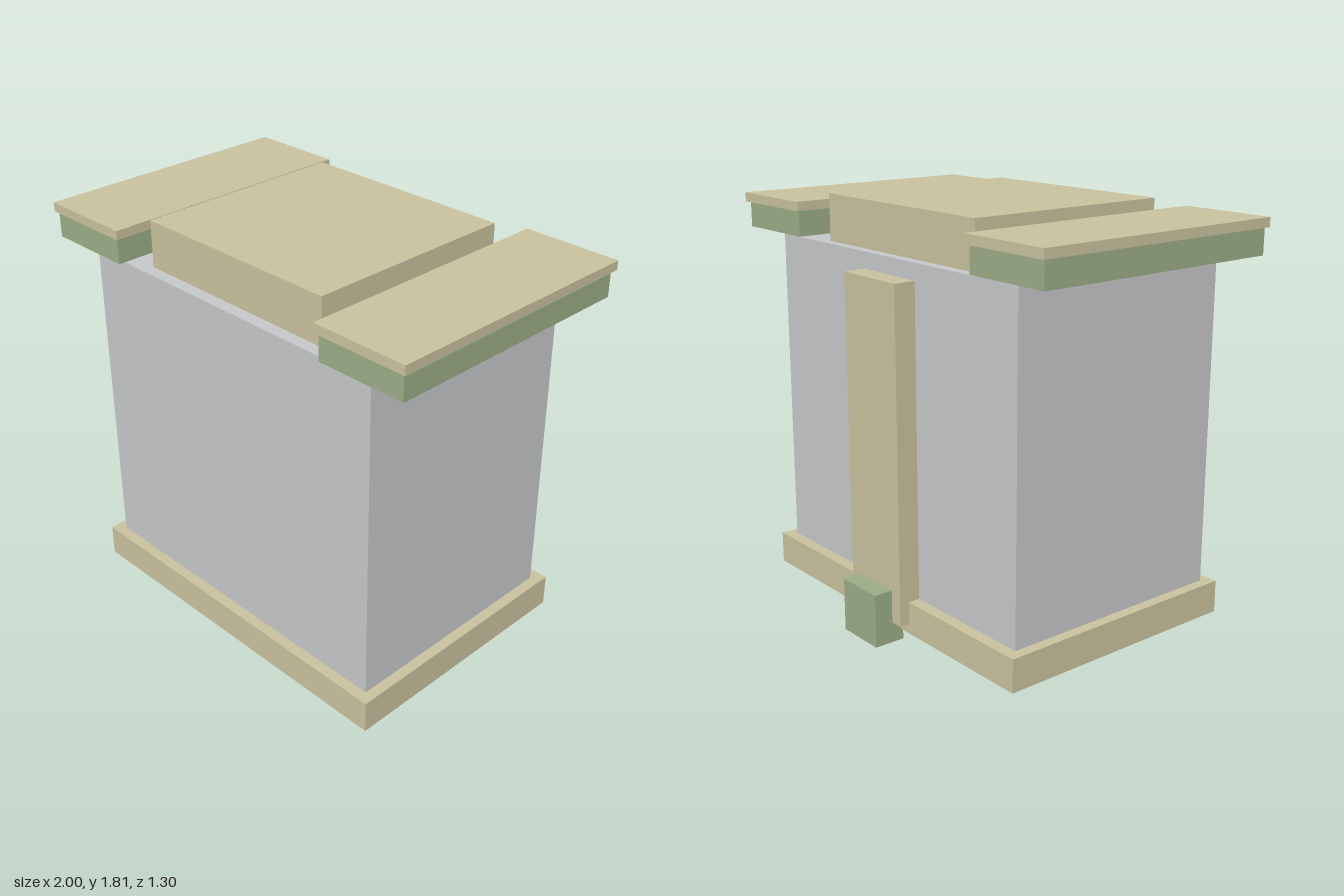
import * as THREE from 'three';

const material = (name, color) => {
  const m = new THREE.MeshStandardMaterial({ color });
  m.name = name;
  return m;
};

// Box spanning [min, max] on each axis
function block(name, mat, [x0, x1], [y0, y1], [z0, z1]) {
  const mesh = new THREE.Mesh(new THREE.BoxGeometry(x1 - x0, y1 - y0, z1 - z0), mat);
  mesh.name = name;
  mesh.position.set((x0 + x1) / 2, (y0 + y1) / 2, (z0 + z1) / 2);
  return mesh;
}

export function createModel() {
  const grey = material('light grey', 0xc5c6c8);
  const tan = material('tan', 0xc8c09c);
  const green = material('sage green', 0x9aab86);
  const model = new THREE.Group();
  model.name = 'boxModel';

  // Main body, base band and raised top
  model.add(
    block('body', grey, [-0.79, 0.79], [0.02, 1.612], [-0.467, 0.59]),
    block('baseBand', tan, [-0.837, 0.837], [0.047, 0.19], [-0.52, 0.638]),
    block('topBlock', tan, [-0.49, 0.49], [1.612, 1.815], [-0.422, 0.535])
  );

  // Shoulder pads with thin overhanging caps, mirrored
  for (const side of [-1, 1]) {
    const span = (a, b) => (side > 0 ? [a, b] : [-b, -a]);
    const name = side > 0 ? 'left' : 'right';
    model.add(
      block(name + 'Shoulder', green, span(0.58, 0.985), [1.628, 1.74], [-0.52, 0.638]),
      block(name + 'ShoulderCap', tan, span(0.565, 1), [1.74, 1.78], [-0.537, 0.65])
    );
  }

  // Back spine and the small block at its foot
  model.add(
    block('backSpine', tan, [-0.173, 0.173], [0.09, 1.54], [-0.565, -0.467]),
    block('backFoot', green, [-0.115, 0.115], [0, 0.235], [-0.65, -0.51])
  );
  return model;
}
